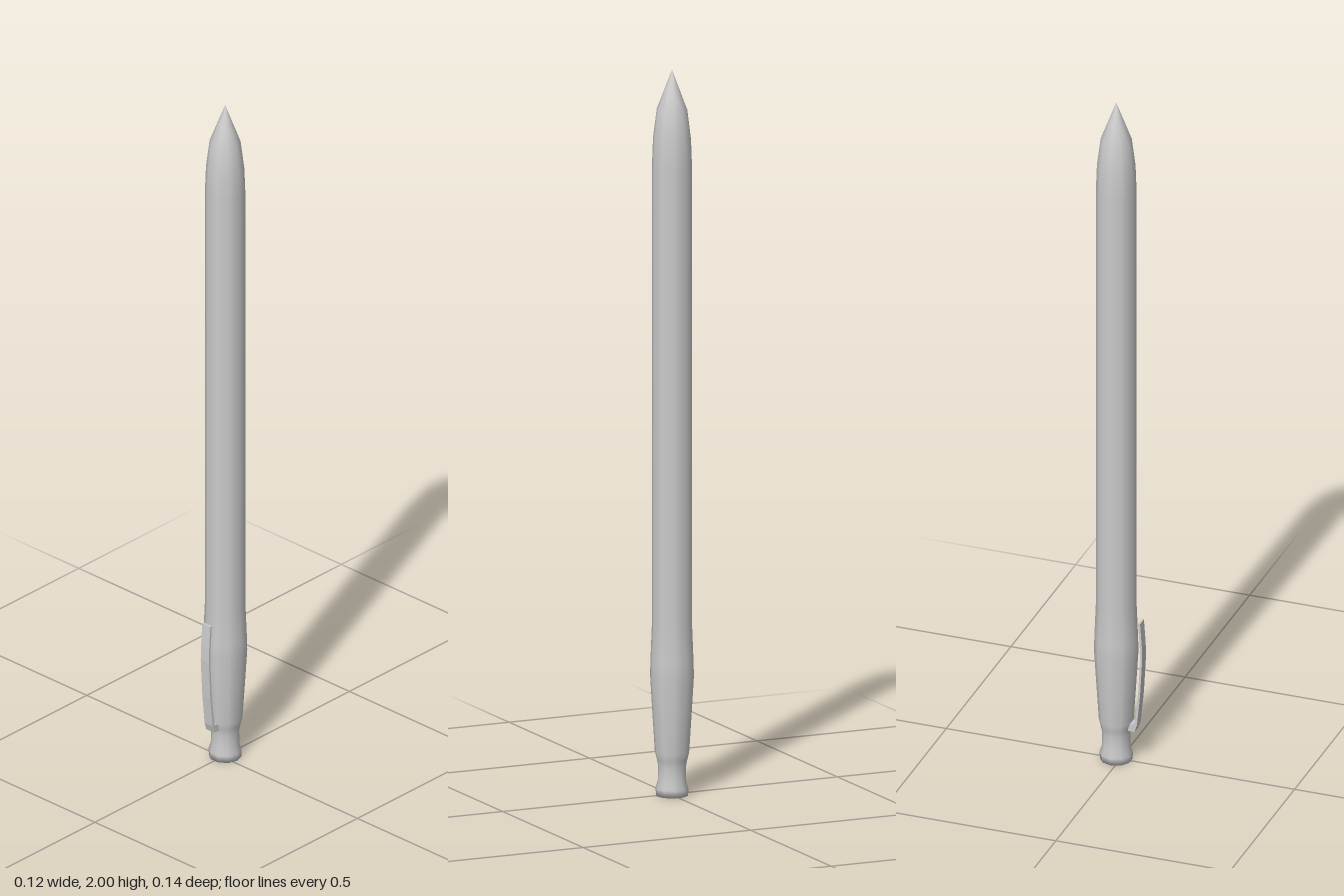
import * as THREE from 'three';

const material = new THREE.MeshStandardMaterial({ color: 0xcccccc });
const AXIS_Z = -0.012; // the barrel sits slightly behind centre to leave room for the clip

function part(name, geometry) {
  const mesh = new THREE.Mesh(geometry, material);
  mesh.name = name;
  return mesh;
}

// Ten-sided turned barrel: push button, neck, swollen grip, long shaft and pointed tip
function makeBarrel() {
  const profile = [
    [0, 0], [0.044, 0], [0.045, 0.02], [0.039, 0.04], [0.038, 0.08], [0.042, 0.1],
    [0.047, 0.12], [0.054, 0.23], [0.06, 0.33], [0.059, 0.37], [0.055, 0.47],
    [0.055, 1.73], [0.052, 1.81], [0.042, 1.89], [0.021, 1.945], [0, 2],
  ].map(([r, y]) => new THREE.Vector2(r, y));
  // Start a quarter turn round so corners fall on the x axis
  const barrel = part('barrel', new THREE.LatheGeometry(profile, 10, Math.PI / 2));
  barrel.position.z = AXIS_Z;
  return barrel;
}

// Thin bowed clip, joined to the barrel by a foot at its lower end
function makeClip() {
  const width = 0.03;
  const outline = new THREE.Shape([
    [0.028, 0.098], [0.046, 0.098], [0.053, 0.12], [0.062, 0.21], [0.068, 0.32],
    [0.067, 0.36], [0.062, 0.43], [0.056, 0.43], [0.061, 0.36], [0.062, 0.32],
    [0.056, 0.21], [0.046, 0.122], [0.028, 0.118],
  ].map(([z, y]) => new THREE.Vector2(z, y)));
  const geometry = new THREE.ExtrudeGeometry(outline, { depth: width, bevelEnabled: false });
  geometry.translate(0, 0, -width / 2);
  geometry.rotateY(-Math.PI / 2);
  return part('clip', geometry);
}

export function createModel() {
  const pen = new THREE.Group();
  pen.name = 'pen';
  pen.add(makeBarrel(), makeClip());
  return pen;
}
